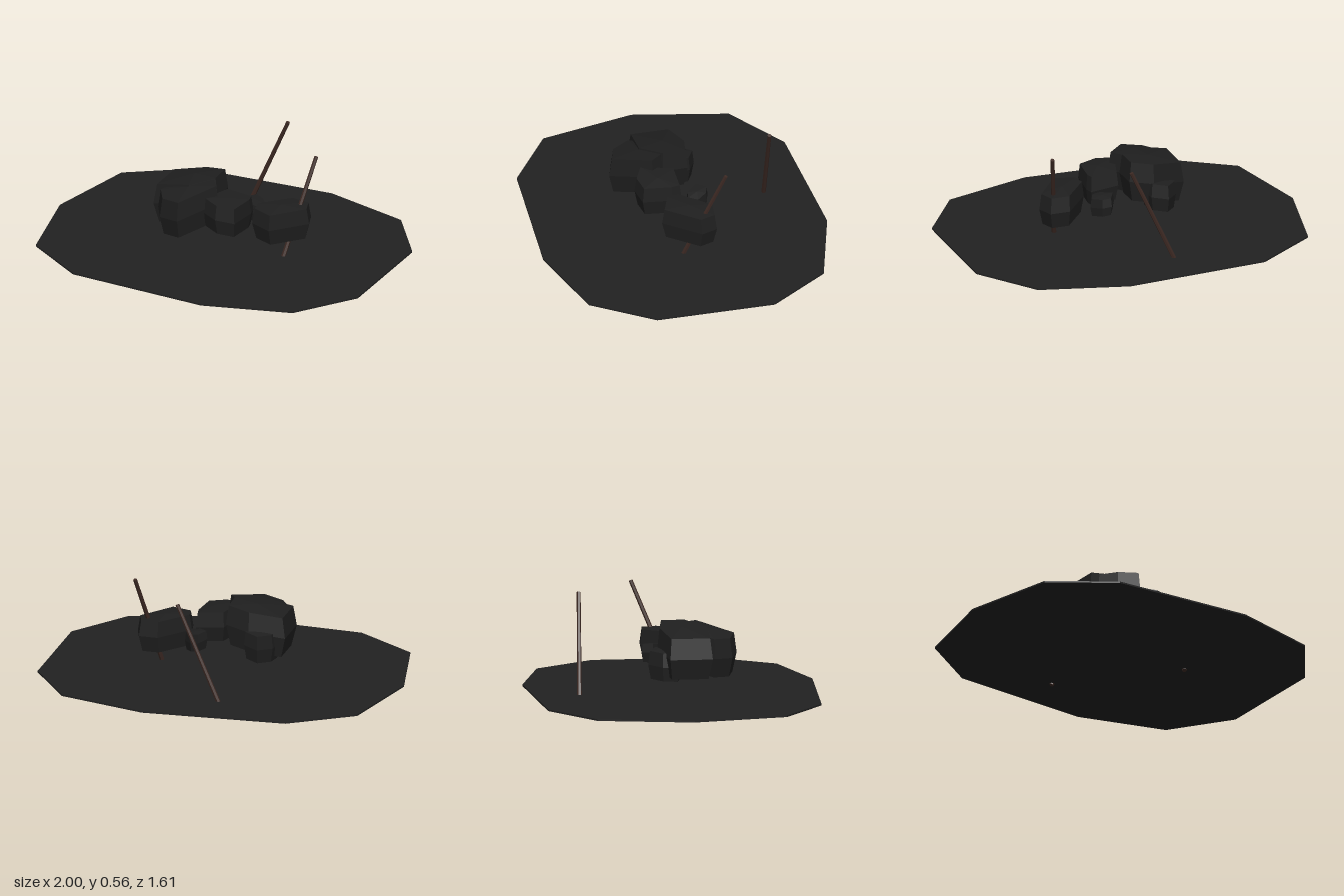
import * as THREE from 'three';

const groundMat = new THREE.MeshStandardMaterial({ color: 0x212121 });
groundMat.name = 'scorchedGround';
const coalMat = new THREE.MeshStandardMaterial({ color: 0x1f1f1f });
coalMat.name = 'charcoal';
const woodMat = new THREE.MeshStandardMaterial({ color: 0x3e2a24 });
woodMat.name = 'darkWood';

// Faceted stone: three rings of one outline (clockwise from above) and two caps.
// tx and tz tilt the stone along x and z.
function stone(name, outline, yBottom, yTop, tx = 0, tz = 0) {
  const n = outline.length;
  const cx = outline.reduce((s, p) => s + p[0], 0) / n;
  const cz = outline.reduce((s, p) => s + p[1], 0) / n;
  const height = yTop - yBottom;
  const point = (x, y, z) => [x, y + tx * (x - cx) + tz * (z - cz), z];
  const rings = [[0.86, 0.03], [1, 0.5], [0.91, 0.95]].map(([scale, t]) =>
    outline.map(([x, z]) =>
      point(cx + (x - cx) * scale, yBottom + height * t, cz + (z - cz) * scale)));
  const top = point(cx, yTop, cz);
  const bottom = point(cx, yBottom, cz);
  const pos = [];
  const tri = (a, b, c) => pos.push(...a, ...b, ...c);
  for (let i = 0; i < n; i++) {
    const j = (i + 1) % n;
    tri(bottom, rings[0][i], rings[0][j]);
    tri(top, rings[2][j], rings[2][i]);
    for (let r = 0; r < 2; r++) {
      const low = rings[r], up = rings[r + 1];
      tri(low[j], low[i], up[i]);
      tri(low[j], up[i], up[j]);
    }
  }
  const geo = new THREE.BufferGeometry();
  geo.setAttribute('position', new THREE.Float32BufferAttribute(pos, 3));
  geo.computeVertexNormals();
  const mesh = new THREE.Mesh(geo, coalMat);
  mesh.name = name;
  return mesh;
}

// Thin stick between two points
function stick(name, from, to) {
  const a = new THREE.Vector3(...from), b = new THREE.Vector3(...to);
  const dir = b.clone().sub(a);
  const geo = new THREE.CylinderGeometry(0.011, 0.013, dir.length(), 6).toNonIndexed();
  geo.computeVertexNormals();
  const mesh = new THREE.Mesh(geo, woodMat);
  mesh.position.copy(a).add(b).multiplyScalar(0.5);
  mesh.quaternion.setFromUnitVectors(new THREE.Vector3(0, 1, 0), dir.normalize());
  mesh.name = name;
  return mesh;
}

export function createModel() {
  const model = new THREE.Group();
  model.name = 'charredPile';

  // Ground patch: half an outline, mirrored front to back
  const half = [[-0.885, 0.525], [-0.54, 0.757], [0.27, 0.803], [0.765, 0.665], [1, 0.333]];
  const edge = [[-1, 0], ...half, ...half.map(([x, z]) => [x, -z]).reverse()];
  const shape = new THREE.Shape(edge.map(([x, z]) => new THREE.Vector2(x, z)));
  const groundGeo = new THREE.ExtrudeGeometry(shape, { depth: 0.009, bevelEnabled: false });
  groundGeo.rotateX(-Math.PI / 2);
  const ground = new THREE.Mesh(groundGeo, groundMat);
  ground.position.y = 0.015;
  ground.name = 'groundPatch';
  model.add(ground);

  // Stones
  model.add(
    stone('rightStone', [[0.37, -0.14], [0.48, -0.13], [0.512, -0.04],
      [0.36, 0.152], [0.235, 0.105], [0.222, 0.03]], 0.115, 0.31, -0.03),
    stone('middleStone', [[0.03, 0], [0.19, 0], [0.2, 0.05],
      [0.182, 0.218], [0.075, 0.24], [-0.03, 0.19]], 0.16, 0.345, -0.1),
    stone('smallStone', [[0.13, -0.16], [0.18, -0.145], [0.228, -0.085],
      [0.2, -0.03], [0.155, -0.035], [0.095, -0.1]], 0.15, 0.26, -0.2),
    stone('bigStone', [[-0.335, -0.055], [-0.14, -0.105], [-0.005, -0.08],
      [0, 0.06], [-0.12, 0.18], [-0.335, 0.18]], 0.155, 0.405, 0.18),
    stone('frontStone', [[-0.13, 0], [-0.01, 0.06], [0.04, 0.125],
      [-0.11, 0.338], [-0.235, 0.3], [-0.298, 0.195]], 0.155, 0.39, 0.15, -0.15),
    stone('backStone', [[-0.205, -0.163], [-0.12, -0.12], [-0.1, -0.02],
      [-0.18, 0.04], [-0.29, 0], [-0.275, -0.09]], 0.12, 0.29, 0.1),
  );

  // Sticks
  model.add(
    stick('backStick', [-0.098, 0.006, -0.531], [0.15, 0.555, -0.506]),
    stick('sideStick', [0.392, 0.006, 0.045], [0.488, 0.555, -0.178]),
  );
  return model;
}
